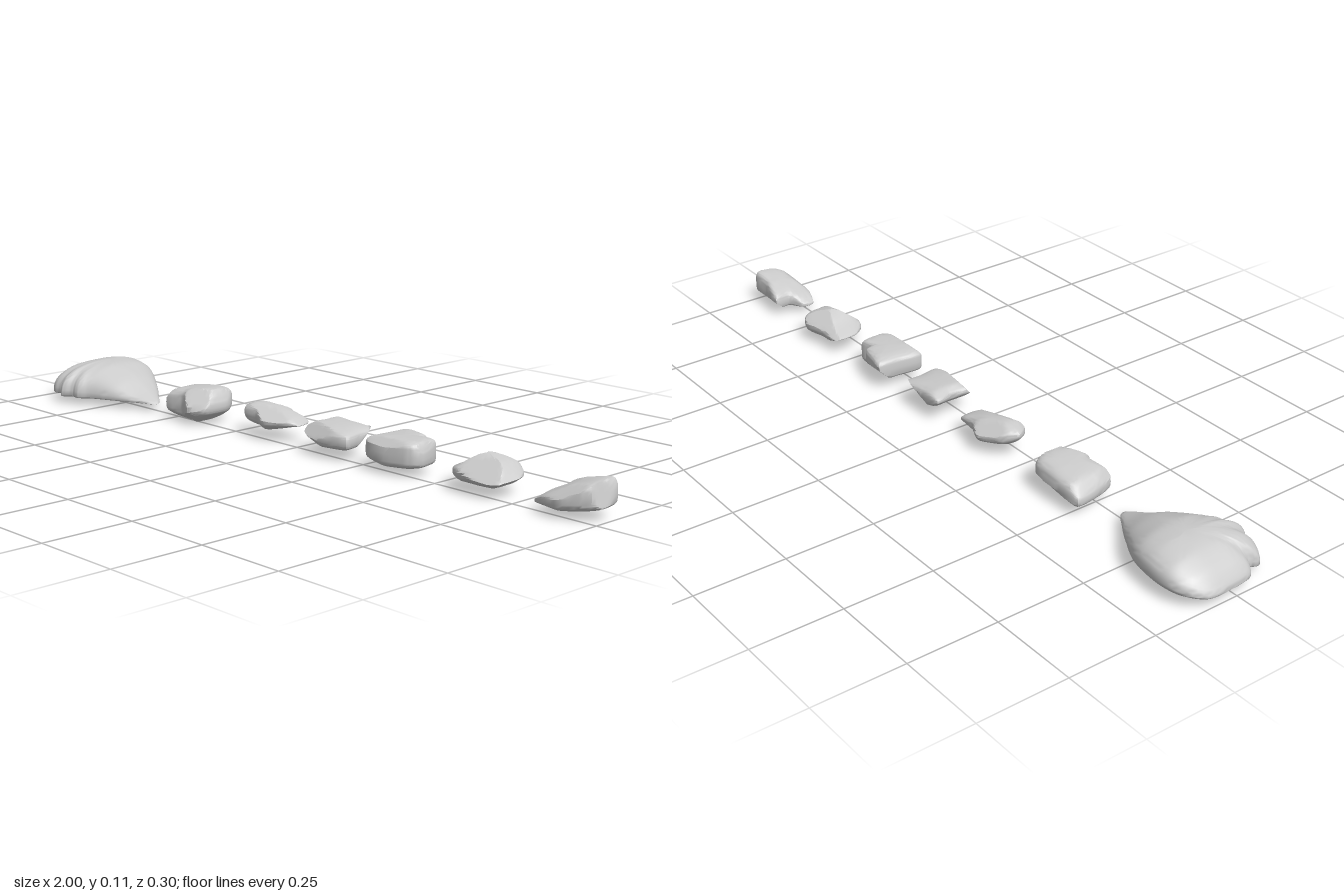
import * as THREE from 'three';
import { toCreasedNormals } from 'three/addons/utils/BufferGeometryUtils.js';

const material = new THREE.MeshStandardMaterial({ color: 0xcccccc });

// Height at x along a short list of [x, y] points
function heightAt(points, x) {
  if (x <= points[0][0]) return points[0][1];
  for (let i = 1; i < points.length; i++) {
    const [x0, y0] = points[i - 1], [x1, y1] = points[i];
    if (x <= x1) return y0 + (y1 - y0) * (x - x0) / (x1 - x0);
  }
  return points[points.length - 1][1];
}

// A stone: plan outline [x, z], upper and lower profiles [x, y], then flat chips cut off
function stone(name, o) {
  const { outline, top, bottom, centre, power = 4, edge = () => 0.5, chips = [], tilt = 0, crease = 0.5, seg = 48, rows = 20 } = o;
  const curve = new THREE.CatmullRomCurve3(
    outline.map(([x, z]) => new THREE.Vector3(x, 0, z)), true, 'catmullrom', o.tension ?? 0.3);
  const rim = curve.getPoints(seg).slice(0, seg);
  const position = [], index = [];
  const planes = chips.map(([nx, ny, nz, px, py, pz]) => {
    const n = new THREE.Vector3(nx, ny, nz).normalize();
    return { n, d: n.dot(new THREE.Vector3(px, py, pz)) };
  });
  const v = new THREE.Vector3();
  for (let r = 0; r <= rows; r++) {
    const a = (r / rows - 0.5) * Math.PI;
    const s = Math.pow(Math.max(Math.cos(a), 0), 2 / power);
    const f = Math.sign(a) * Math.pow(Math.abs(Math.sin(a)), 2 / power);
    for (const p of rim) {
      const x = centre[0] + (p.x - centre[0]) * s, z = centre[1] + (p.z - centre[1]) * s;
      const hi = heightAt(top, x), lo = heightAt(bottom, x);
      const mid = lo + (hi - lo) * edge(z);
      v.set(x, f > 0 ? mid + (hi - mid) * f : mid + (mid - lo) * f, z);
      if (f > 0) v.y += tilt * (z - centre[1]) * f;
      for (const { n, d } of planes) {
        const over = n.dot(v) - d;
        if (over > 0) v.addScaledVector(n, -over);
      }
      position.push(v.x, v.y, v.z);
    }
  }
  for (let r = 0; r < rows; r++) {
    for (let i = 0; i < seg; i++) {
      const j = (i + 1) % seg, a = r * seg + i, b = r * seg + j, c = a + seg, d = b + seg;
      if (r > 0) index.push(a, c, b);
      if (r < rows - 1) index.push(b, c, d);
      else index.push(a, c, b);
    }
  }
  // close the small gap at the lower pole
  for (let i = 0; i < seg; i++) index.push((i + 1) % seg, i, seg + i, (i + 1) % seg, seg + i, seg + (i + 1) % seg);
  let geometry = new THREE.BufferGeometry();
  geometry.setAttribute('position', new THREE.Float32BufferAttribute(position, 3));
  geometry.setIndex(index);
  geometry = toCreasedNormals(geometry, crease);
  const mesh = new THREE.Mesh(geometry, material);
  mesh.name = name;
  return mesh;
}

export function createModel() {
  const group = new THREE.Group();
  group.name = 'rowOfStones';

  // Large smooth mound with a tapered end and a lobed front
  group.add(stone('largeMound', {
    outline: [[-1, -0.09], [-0.96, -0.14], [-0.895, -0.155], [-0.8, -0.14], [-0.72, -0.095], [-0.655, -0.05],
      [-0.6, 0], [-0.655, 0.04], [-0.72, 0.075], [-0.79, 0.105], [-0.82, 0.128], [-0.845, 0.128], [-0.87, 0.148],
      [-0.9, 0.128], [-0.93, 0.13], [-0.965, 0.105], [-0.96, 0.075], [-0.99, 0.05], [-1, -0.02]],
    top: [[-1, 0.07], [-0.97, 0.095], [-0.92, 0.113], [-0.86, 0.119], [-0.8, 0.115], [-0.72, 0.09], [-0.66, 0.06], [-0.6, 0.036]],
    bottom: [[-1, 0.02], [-0.8, 0.018], [-0.6, 0.02]],
    centre: [-0.85, -0.03], power: 2.5, tension: 0.5, crease: 1.0, seg: 96, rows: 28,
    edge: (z) => THREE.MathUtils.clamp(0.22 - z * 1.1, 0.1, 0.38),
  }));

  // Rounded block with a chipped front corner
  group.add(stone('roundedBlock', {
    outline: [[-0.53, -0.085], [-0.45, -0.096], [-0.37, -0.09], [-0.342, -0.05], [-0.345, 0.03], [-0.395, 0.055],
      [-0.44, 0.035], [-0.505, 0.043], [-0.525, -0.015]],
    top: [[-0.53, 0.07], [-0.5, 0.093], [-0.44, 0.101], [-0.36, 0.108], [-0.34, 0.08]],
    bottom: [[-0.53, 0.025], [-0.48, 0.012], [-0.41, 0.004], [-0.34, 0.028]],
    centre: [-0.435, -0.02], power: 3.6,
    chips: [[0.35, 0.7, 0.75, -0.39, 0.09, 0.02], [-0.7, 0.6, 0.3, -0.505, 0.085, 0], [0.1, -0.8, -0.6, -0.43, 0.025, -0.06],
      [0, -0.8, 0.6, -0.42, 0.015, 0.02]],
  }));

  // Thin flat chip of stone
  group.add(stone('flatPebble', {
    outline: [[-0.23, -0.03], [-0.2, -0.07], [-0.14, -0.1], [-0.09, -0.08], [-0.035, -0.075], [-0.025, -0.03],
      [-0.065, 0.005], [-0.115, 0.023], [-0.16, 0.006], [-0.205, 0.007]],
    top: [[-0.23, 0.095], [-0.18, 0.1], [-0.11, 0.09], [-0.05, 0.075], [-0.025, 0.06]],
    bottom: [[-0.23, 0.055], [-0.2, 0.038], [-0.12, 0.03], [-0.025, 0.048]],
    centre: [-0.13, -0.035], power: 2.8,
    chips: [[0.2, 0.85, 0.5, -0.11, 0.085, -0.02], [-0.1, 0.8, -0.6, -0.14, 0.086, -0.065]],
  }));

  // Squarish wedge, sloping underneath
  group.add(stone('squareWedge', {
    outline: [[0.045, -0.092], [0.12, -0.096], [0.195, -0.1], [0.2, -0.04], [0.207, 0.02], [0.12, 0.036],
      [0.05, 0.026], [0.056, -0.04]],
    top: [[0.04, 0.079], [0.075, 0.092], [0.14, 0.088], [0.207, 0.08]],
    bottom: [[0.04, 0.066], [0.07, 0.045], [0.12, 0.028], [0.207, 0.03]],
    centre: [0.125, -0.035], power: 4,
    chips: [[-0.1, 0.6, 0.75, 0.1, 0.076, 0.016], [0.3, -0.7, -0.6, 0.13, 0.04, -0.07]],
  }));

  // Flat-topped block with a notched back corner
  group.add(stone('flatBlock', {
    outline: [[0.292, -0.113], [0.335, -0.108], [0.385, -0.095], [0.395, -0.07], [0.435, -0.075], [0.447, -0.015],
      [0.425, 0.017], [0.35, 0.036], [0.28, 0.022], [0.286, -0.05]],
    top: [[0.28, 0.093], [0.33, 0.098], [0.435, 0.097], [0.45, 0.072]],
    bottom: [[0.28, 0.03], [0.35, 0.022], [0.45, 0.025]],
    centre: [0.36, -0.035], power: 5.5,
    chips: [[0, 0.75, 0.65, 0.36, 0.085, 0.022], [0, -0.7, -0.7, 0.34, 0.035, -0.08]],
  }));

  // Peaked stone with sloping sides
  group.add(stone('peakedStone', {
    outline: [[0.54, -0.09], [0.6, -0.096], [0.67, -0.112], [0.71, -0.09], [0.725, -0.053], [0.72, 0.016],
      [0.645, 0.028], [0.575, 0.016], [0.54, -0.027]],
    top: [[0.535, 0.058], [0.585, 0.078], [0.63, 0.104], [0.69, 0.09], [0.725, 0.06]],
    bottom: [[0.535, 0.047], [0.59, 0.024], [0.69, 0.025], [0.725, 0.045]],
    centre: [0.635, -0.045], power: 2.8,
    chips: [[0.15, 0.75, 0.65, 0.64, 0.088, -0.02], [-0.2, 0.75, -0.65, 0.63, 0.09, -0.07], [0.8, 0.6, 0.1, 0.7, 0.08, -0.04]],
  }));

  // Ramp-shaped stone, tall at its outer end
  group.add(stone('rampStone', {
    outline: [[0.858, -0.1], [0.93, -0.09], [0.99, -0.09], [0.998, -0.03], [0.96, 0.006], [0.9, 0.027],
      [0.826, 0.01], [0.826, -0.027], [0.86, -0.053]],
    top: [[0.82, 0.04], [0.85, 0.06], [0.915, 0.087], [0.985, 0.103], [1, 0.085]],
    bottom: [[0.82, 0.023], [0.9, 0.02], [1, 0.03]],
    centre: [0.92, -0.035], power: 4.5, tilt: -0.15,
    chips: [[-0.1, 0.75, 0.65, 0.94, 0.08, 0], [0.95, 0.2, 0.3, 0.99, 0.06, -0.04], [0, -0.75, -0.6, 0.93, 0.032, -0.08]],
  }));

  return group;
}
